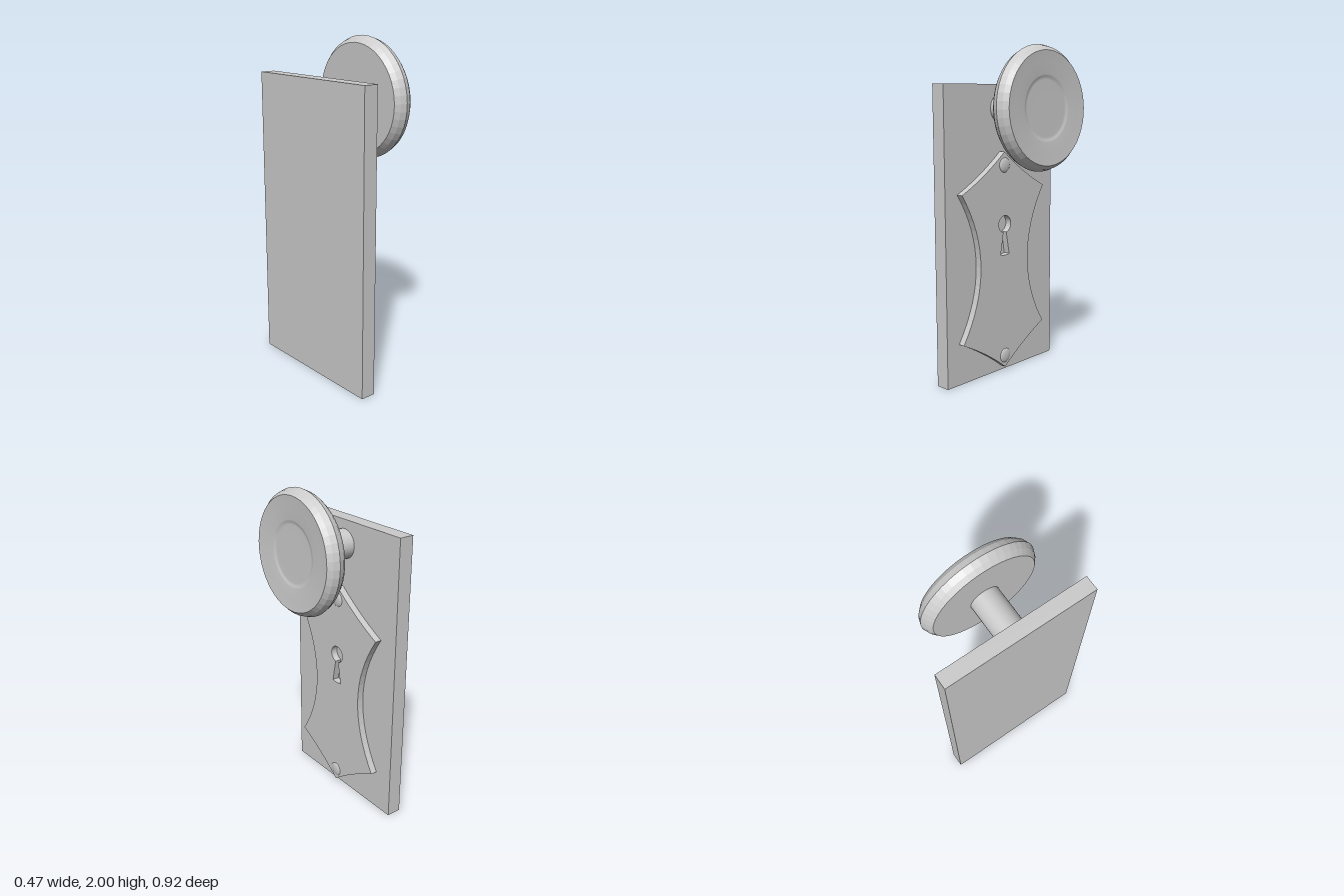
import * as THREE from 'three';

const TILT = 0.03;

export function createModel() {
  const group = new THREE.Group();
  const smooth = new THREE.MeshStandardMaterial({ color: 0xcccccc });
  const flat = new THREE.MeshStandardMaterial({ color: 0xcccccc, flatShading: true });

  const add = (name, geometry, material, x, y, z, parent = group) => {
    const mesh = new THREE.Mesh(geometry, material);
    mesh.name = name;
    mesh.position.set(x, y, z);
    parent.add(mesh);
    return mesh;
  };

  // Rectangular slab of door
  add('doorPanel', new THREE.BoxGeometry(0.09, 1.78, 0.924), flat, -0.195, 0.89, 0);

  // Escutcheon outline: pointed ends and concave flanks
  const outline = new THREE.Shape();
  outline.moveTo(0, 0.03);
  outline.quadraticCurveTo(0.16, 0.16, 0.353, 0.255);
  outline.quadraticCurveTo(0.06, 0.703, 0.353, 1.15);
  outline.quadraticCurveTo(0.16, 1.245, 0, 1.38);
  outline.quadraticCurveTo(-0.16, 1.245, -0.353, 1.15);
  outline.quadraticCurveTo(-0.06, 0.703, -0.353, 0.255);
  outline.quadraticCurveTo(-0.16, 0.16, 0, 0.03);

  // Keyhole: round head over a flared slot
  const keyhole = new THREE.Path();
  const gap = 0.24;
  keyhole.moveTo(-0.037, 0.752);
  keyhole.quadraticCurveTo(0, 0.742, 0.037, 0.752);
  keyhole.lineTo(0.0125, 0.89);
  keyhole.absarc(0, 0.94, 0.0525, -Math.PI / 2 + gap, Math.PI * 1.5 - gap, false);
  keyhole.closePath();
  outline.holes.push(keyhole);

  const plate = new THREE.ExtrudeGeometry(outline, {
    depth: 0.041, bevelEnabled: false, curveSegments: 16,
  });
  plate.rotateY(Math.PI / 2);
  add('escutcheon', plate, smooth, -0.15, 0, 0.015);

  // Domed screw heads
  for (const y of [0.105, 1.3]) {
    const screw = add('screwHead', new THREE.SphereGeometry(0.045, 24, 16), smooth, -0.111, y, 0.015);
    screw.scale.x = 0.28;
  }

  // Spindle
  const spindle = new THREE.CylinderGeometry(0.088, 0.088, 0.27, 32);
  spindle.rotateZ(-Math.PI / 2);
  add('spindle', spindle, smooth, -0.017, 1.638, 0.004);

  // Knob: slightly tilted disc made of a back, a rounded rim and a dished face
  const knob = new THREE.Group();
  knob.name = 'knob';
  knob.position.set(0.164, 1.64, 0.005);
  knob.rotation.z = TILT;
  group.add(knob);

  const turn = (name, profile, material) => {
    const points = profile.map(([r, x]) => new THREE.Vector2(r, x));
    const geometry = new THREE.LatheGeometry(points, 48);
    geometry.rotateZ(-Math.PI / 2);
    add(name, geometry, material, 0, 0, 0, knob);
  };
  turn('knobBack', [[0, -0.062], [0.322, -0.062]], smooth);
  turn('knobRim', [
    [0.322, -0.062], [0.345, -0.035], [0.36, 0], [0.348, 0.035], [0.325, 0.061],
  ], flat);
  turn('knobFace', [
    [0.325, 0.061], [0.26, 0.055], [0.192, 0.051], [0.182, 0.047],
    [0.172, 0.044], [0.162, 0.043], [0.08, 0.043], [0, 0.043],
  ], smooth);

  return group;
}
